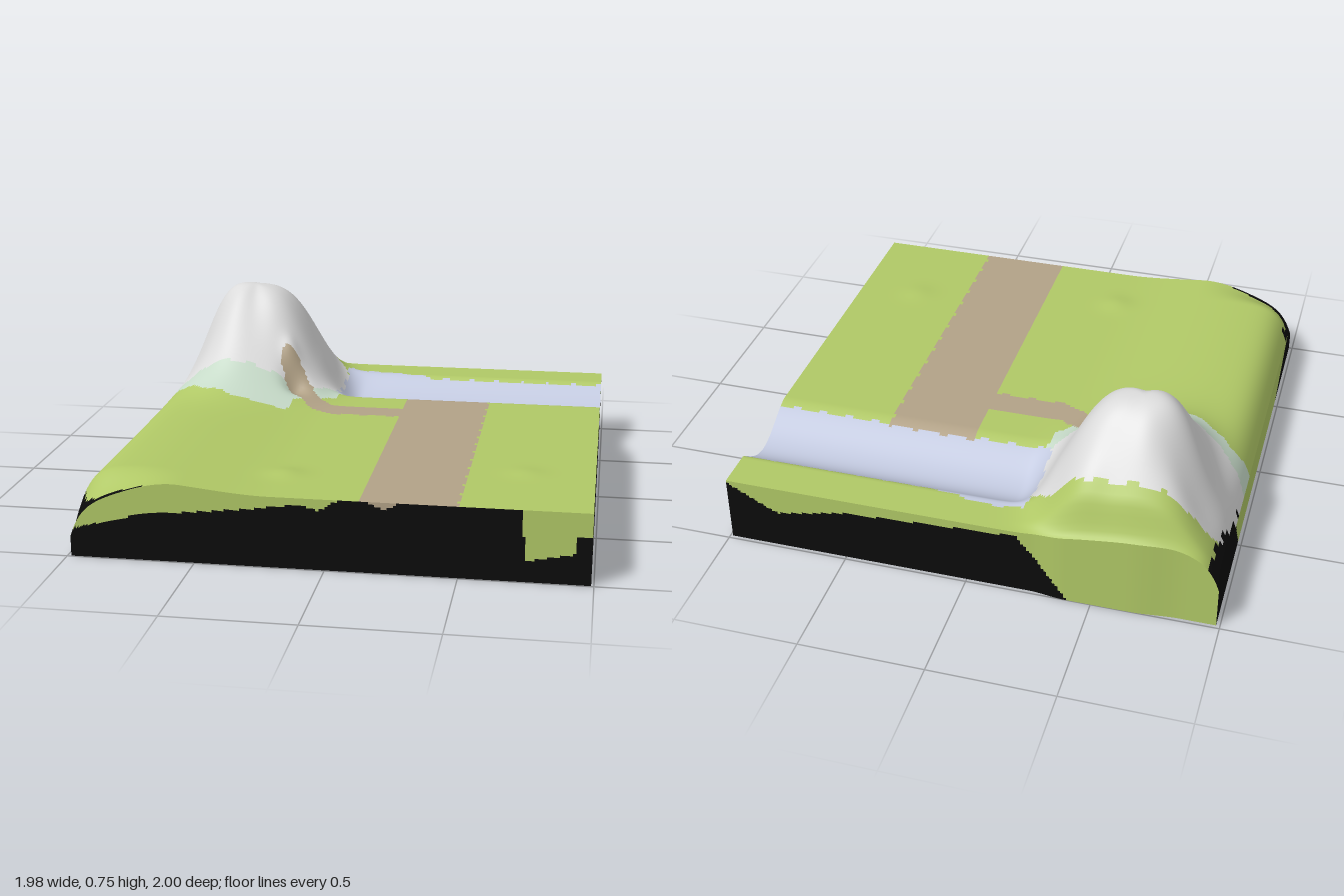
import * as THREE from 'three';

const { smoothstep: smooth, lerp, clamp } = THREE.MathUtils;

const mat = (name, color) => {
  const m = new THREE.MeshStandardMaterial({ color });
  m.name = name;
  return m;
};

// Straight-line profile through [position, value] pairs
const profile = pts => t => {
  const i = clamp(pts.findIndex(p => p[0] > t), 1, pts.length - 1);
  const [[a, va], [b, vb]] = [pts.at(i - 1), pts[i]];
  return lerp(va, vb, clamp((t - a) / (b - a), 0, 1));
};
const bump = (x, z, cx, cz, r) => Math.exp(-((x - cx) ** 2 + (z - cz) ** 2) / (r * r));

const X0 = -0.985, X1 = 0.99, Z1 = 0.995, N = 170;
const PEAK_X = -0.6, PEAK_Z = -0.62;
const backZ = x => -0.985 - 0.015 * smooth(x, -0.85, -0.65) * (1 - smooth(x, -0.4, -0.25));

// Mountain: a bell whose width and steepness change with direction
function mountain(x, z) {
  const dx = x - PEAK_X, dz = z - PEAK_Z;
  const a = Math.atan2(dz, dx), c2 = Math.cos(a) ** 2;
  const r = Math.hypot(dx, dz) * (1 + 0.035 * Math.sin(5 * a + 1));
  const width = lerp(0.305, dx > 0 ? 0.308 : 0.25, c2);
  const power = lerp(dz > 0 ? 1.9 : 2.2, 3.5, c2);
  return 0.43 * Math.exp(-((r / width) ** power));
}

// River bed, steeper on its back bank
function channel(x, z) {
  const t = clamp((z + 0.82) / 0.43, 0, 1);
  return 0.092 * Math.max(0, Math.sin(Math.PI * t ** 0.8)) ** 1.5 * smooth(x, -0.3, -0.12);
}

function height(x, z) {
  // gentle rise along the side, rolling off at the edge and front corner
  let y = 0.28 + 0.04 * (1 - smooth(x, -0.75, -0.2)) - 0.15 * Math.exp((X0 - x) / 0.05);
  y -= 0.09 * smooth(z, 0.82, 1) * smooth(-x, 0.55, 0.98);
  // mountain and the grassy shoulders behind it, rounded at the back edge
  const shoulders = 0.08 * bump(x, z, -0.42, -0.89, 0.11) + 0.06 * bump(x, z, -0.8, -0.88, 0.1);
  y += (mountain(x, z) + shoulders) * lerp(0.2, 1, smooth(z, -1, -0.93));
  // cave hollow with a brow above it
  y += 0.03 * bump(x, z, -0.4, -0.4, 0.04) - 0.045 * bump(x, z, -0.37, -0.31, 0.05);
  // small mounds in the meadow
  y += 0.012 * bump(x, z, -0.2, 0.72, 0.07) + 0.008 * bump(x, z, 0.72, 0.57, 0.07);
  return y - channel(x, z);
}

// Front limit of the pale foothill
const foothillEdge = profile([[-0.9, -0.27], [-0.75, -0.18], [-0.6, -0.12], [-0.37, -0.1],
  [-0.35, -0.22], [-0.19, -0.33], [-0.17, -0.5]]);

// Track from the branch path up to the cave
const track = new THREE.Line3(new THREE.Vector3(-0.2, 0, -0.18), new THREE.Vector3(-0.39, 0, -0.36));
const nearest = new THREE.Vector3();

function groundAt(px, y, pz) {
  const x = px + 0.005 * Math.sin(pz * 61), z = pz + 0.005 * Math.sin(px * 53);
  const backStrip = x < X0 + 0.045 * smooth(-z, 0.5, 0.95);
  const frontCorner = z > 0.78 && x < -0.7 && (x - X0) * (Z1 - z) < 0.003;
  if (backStrip || frontCorner) return 'soil';

  const p = new THREE.Vector3(x, 0, z);
  const mainPath = x > 0.13 && x < 0.5 && z > -0.44;
  const branch = x > -0.2 && x < 0.14 && z > -0.24 && z < -0.12;
  if (mainPath || branch || track.closestPointToPoint(p, true, nearest).distanceTo(p) < 0.05) return 'path';

  if (x > -0.2 && z < -0.435 && z > -0.85 + 0.05 * smooth(x, -0.1, 0.3)) return 'water';

  const dx = x - PEAK_X, dz = z - PEAK_Z;
  if (Math.abs(dx / 0.42) ** 3 + Math.abs(dz / (dz > 0 ? 0.32 : 0.27)) ** 3 < 1) return 'rock';
  return dz > 0.1 && x < -0.17 && z < foothillEdge(x) ? 'foothill' : 'grass';
}

// Height on each wall where the black soil stops
const frontLimit = profile([[X0, 0.11], [-0.7, 0.185], [-0.3, 0.225], [-0.1, 0.255], [-0.02, 0.235],
  [0.07, 0.29], [0.16, 0.28], [0.23, 0.25], [0.29, 0.29], [0.735, 0.29], [0.745, 0.08], [0.93, 0.12], [0.935, 0.29]]);
const rightLimit = profile([[-0.98, 0.29], [-0.95, 0.19], [-0.8, 0.22], [-0.72, 0.17], [-0.7, 0.1],
  [-0.4, 0.16], [-0.3, 0.23], [-0.2, 0.25], [-0.17, 0.17], [-0.1, 0.24], [-0.08, 0.17],
  [0.07, 0.19], [0.075, 0.29], [0.87, 0.29], [0.88, 0.06], [0.91, 0.16]]);
const backLimit = profile([[-0.41, 0], [-0.2, 0.26], [0.1, 0.245], [0.5, 0.22], [0.78, 0.16], [0.99, 0.27]]);
const leftLimit = profile([[-1, 0.5], [-0.75, 0.4], [-0.48, 0], [0.55, 0], [0.85, 0.16], [1, 0.25]]);

export function createModel() {
  const materials = {
    grass: mat('grass green', 0xb0c866),
    soil: mat('black soil', 0x0b0b0b),
    path: mat('path brown', 0xb2a287),
    water: mat('water blue', 0xc2c9df),
    rock: mat('rock grey', 0xdbdbdb),
    foothill: mat('pale foothill green', 0xc6dac8),
  };
  const model = new THREE.Group();
  model.name = 'landscapeTile';

  // Grid surface split into one smooth mesh per colour
  function surface(name, nu, nv, point, colourAt) {
    const pos = [], index = [], parts = {};
    for (let j = 0; j <= nv; j++)
      for (let i = 0; i <= nu; i++) pos.push(...point(i / nu, j / nv));
    for (let j = 0; j < nv; j++)
      for (let i = 0; i < nu; i++) {
        const a = j * (nu + 1) + i, b = a + 1, c = a + nu + 1, d = c + 1;
        const quad = [a, b, d, a, d, c];
        index.push(...quad);
        const mid = [0, 1, 2].map(k => (pos[a * 3 + k] + pos[d * 3 + k]) / 2);
        (parts[colourAt(...mid)] ||= []).push(...quad);
      }
    const whole = new THREE.BufferGeometry();
    whole.setAttribute('position', new THREE.Float32BufferAttribute(pos, 3));
    whole.setIndex(index);
    whole.computeVertexNormals();
    const group = new THREE.Group();
    group.name = name;
    for (const [key, faces] of Object.entries(parts)) {
      const g = new THREE.BufferGeometry();
      g.setAttribute('position', whole.attributes.position);
      g.setAttribute('normal', whole.attributes.normal);
      g.setIndex(faces);
      const mesh = new THREE.Mesh(g, materials[key]);
      mesh.name = `${name} ${key}`;
      group.add(mesh);
    }
    model.add(group);
  }

  // Ground with mountain, river bed and paths
  surface('ground', N, N, (u, v) => {
    const x = lerp(X0, X1, v), z = lerp(backZ(x), Z1, u);
    return [x, height(x, z), z];
  }, groundAt);

  // Four walls, each following the ground edge
  const wall = (name, edge, colourAt) => surface(name, N, 30, (u, v) => {
    const [x, z] = edge(u);
    return [x, v * height(x, z), z];
  }, colourAt);
  wall('frontWall', u => [lerp(X0, X1, u), Z1],
    (x, y) => y < frontLimit(x) ? 'soil' : x > 0.15 && x < 0.5 ? 'path' : 'grass');
  wall('rightWall', u => [X1, lerp(Z1, backZ(X1), u)],
    (x, y, z) => y < rightLimit(z) ? 'soil' : z < -0.4 && z > -0.79 ? 'water' : 'grass');
  wall('backWall', u => {
    const x = lerp(X1, X0, u);
    return [x, backZ(x)];
  }, (x, y) => y < backLimit(x) ? 'soil' : 'grass');
  wall('leftWall', u => [X0, lerp(backZ(X0), Z1, u)],
    (x, y, z) => y < leftLimit(z) ? 'soil' : 'grass');

  // Flat underside
  surface('underside', 40, 1, (u, v) => {
    const x = lerp(X0, X1, u);
    return [x, 0, lerp(backZ(x), Z1, v)];
  }, () => 'soil');

  return model;
}
